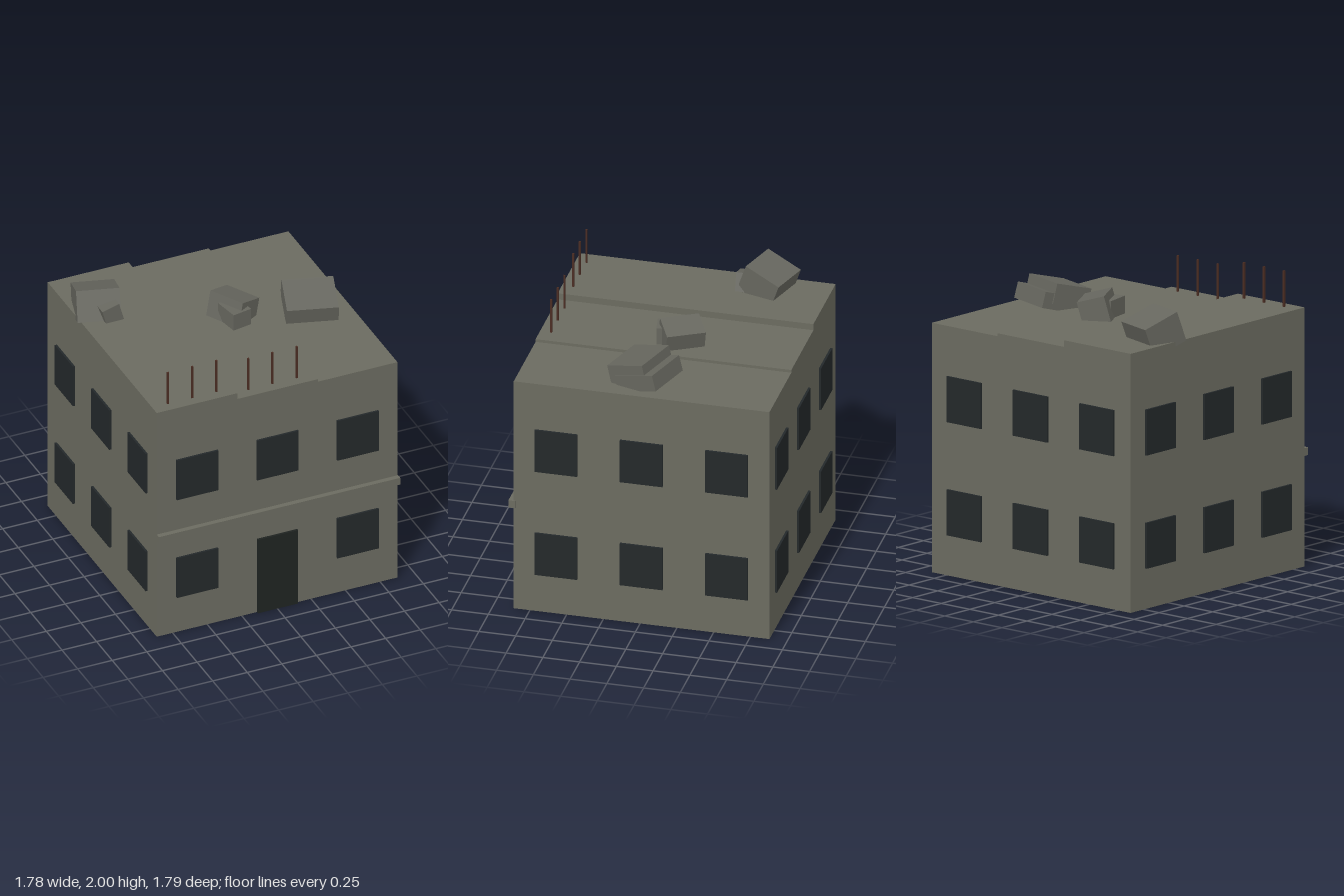
import * as THREE from 'three';

const mat = (color) => new THREE.MeshStandardMaterial({ color, flatShading: true });

export function createModel() {
  const model = new THREE.Group();
  const concrete = mat(0x6b6b60), stone = mat(0x66665e);
  const glass = mat(0x23282a), doorMat = mat(0x1e2321), rust = mat(0x4a2c22);

  const box = (name, size, pos, material, rot = [0, 0, 0]) => {
    const mesh = new THREE.Mesh(new THREE.BoxGeometry(...size), material);
    mesh.name = name;
    mesh.position.set(...pos);
    mesh.rotation.set(...rot, 'YXZ');
    model.add(mesh);
    return mesh;
  };

  // Walls with a roof that steps down in three strips
  const profile = new THREE.Shape([
    [-0.865, 0], [0.875, 0], [0.875, 1.69], [0.3, 1.69],
    [0.3, 1.71], [-0.28, 1.71], [-0.28, 1.755], [-0.865, 1.755],
  ].map(([x, y]) => new THREE.Vector2(x, y)));
  const walls = new THREE.Mesh(
    new THREE.ExtrudeGeometry(profile, { depth: 1.74, bevelEnabled: false }), concrete);
  walls.name = 'walls';
  walls.position.z = -0.88;
  model.add(walls);

  // Ledge between the storeys, and the door
  box('ledge', [1.745, 0.053, 0.05], [0.0075, 0.775, 0.87], concrete);
  box('door', [0.29, 0.575, 0.03], [0.005, 0.2875, 0.862], doorMat);

  // Three windows per storey on every side; the door takes the middle front one
  const cx = 0.005, cz = -0.01, reach = 0.87;
  for (const y of [0.43, 1.197]) {
    for (const t of [-0.58, 0, 0.58]) {
      if (t !== 0 || y > 1) box('frontWindow', [0.3, 0.31, 0.03], [cx + t, y, cz + reach], glass);
      box('backWindow', [0.3, 0.31, 0.03], [cx + t, y, cz - reach], glass);
      for (const s of [-1, 1])
        box('sideWindow', [0.03, 0.31, 0.29], [cx + s * reach, y, cz + t], glass);
    }
  }

  // Bare reinforcing rods along the front of the roof
  for (const [base, xs] of [[1.7, [-0.75, -0.575, -0.4]], [1.655, [-0.17, 0.005, 0.18]]])
    for (const x of xs) box('rod', [0.013, 0.3, 0.013], [x, base + 0.15, 0.785], rust);

  // Rubble blocks: size, position, rotation
  const rubble = [
    [[0.29, 0.215, 0.266], [-0.705, 1.81, -0.465], [-0.35, -0.28, 0]],
    [[0.125, 0.13, 0.1], [-0.67, 1.805, -0.315], [0, 0, 0.27]],
    [[0.19, 0.177, 0.265], [0.114, 1.77, -0.0885], [0, 0.51, -0.27]],
    [[0.14, 0.14, 0.18], [0.09, 1.76, -0.005], [0, 0.18, 0]],
    [[0.345, 0.14, 0.275], [0.6, 1.775, 0.07], [0.25, -0.29, 0]],
    [[0.345, 0.11, 0.3], [0.629, 1.737, 0.006], [0.27, -0.29, 0]],
  ];
  for (const [size, pos, rot] of rubble) box('rubble', size, pos, stone, rot);

  return model;
}
